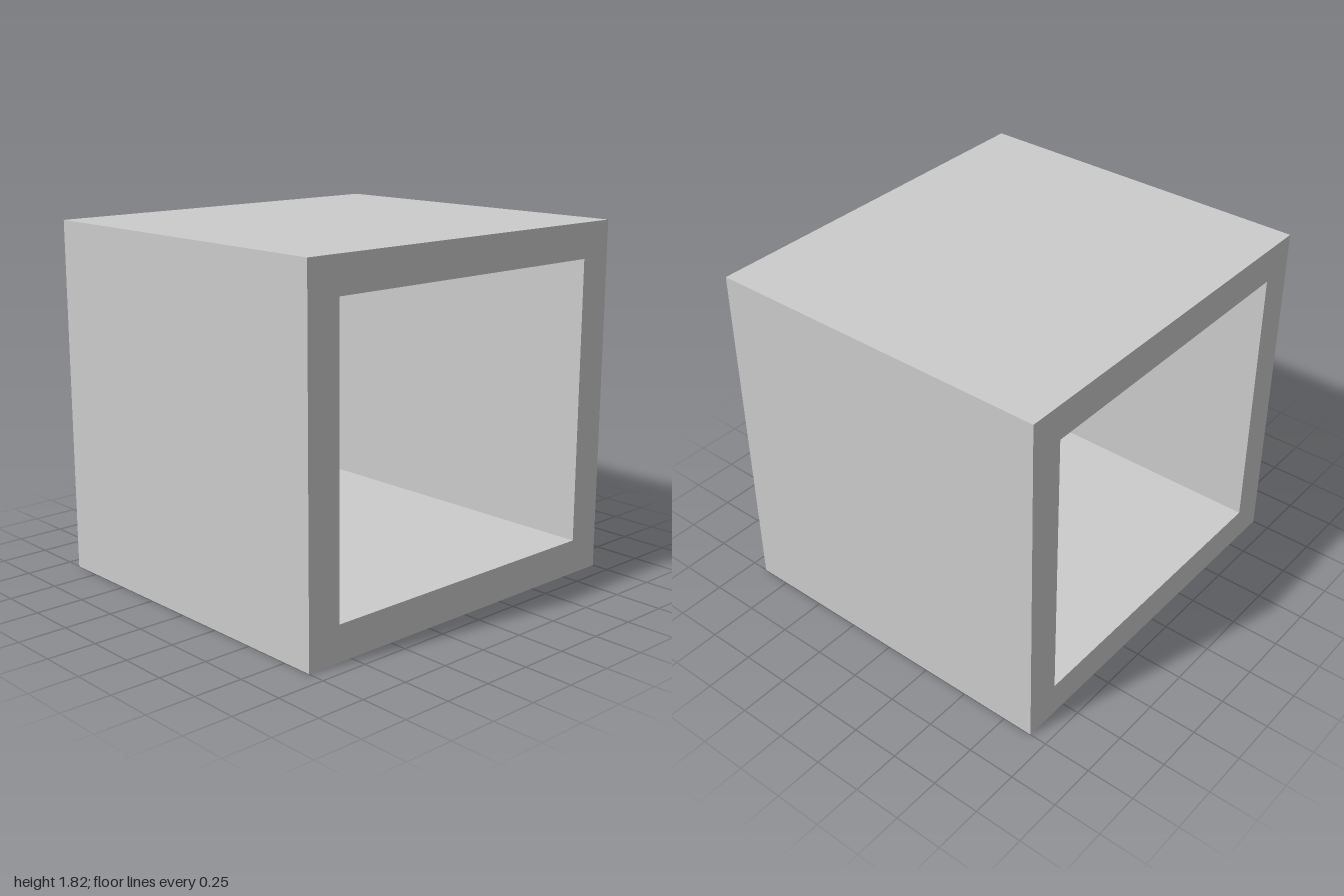
import * as THREE from 'three';

const WIDTH = 2, HEIGHT = 1.82, DEPTH = 1.82, WALL = 0.18;

// Closed rectangle, inset evenly from the outer outline
function outline(path, inset) {
  const x = WIDTH / 2 - inset, y0 = inset, y1 = HEIGHT - inset;
  path.moveTo(-x, y0);
  path.lineTo(x, y0);
  path.lineTo(x, y1);
  path.lineTo(-x, y1);
  path.closePath();
  return path;
}

export function createModel() {
  const group = new THREE.Group();
  group.name = 'boxCulvert';

  // Rectangular tube, open at front and back
  const section = outline(new THREE.Shape(), 0);
  section.holes.push(outline(new THREE.Path(), WALL));
  const geometry = new THREE.ExtrudeGeometry(section, { depth: DEPTH, bevelEnabled: false });
  geometry.translate(0, 0, -DEPTH / 2);

  const tube = new THREE.Mesh(geometry, new THREE.MeshStandardMaterial({ color: 0xcccccc }));
  tube.name = 'rectangularTube';
  group.add(tube);
  return group;
}
